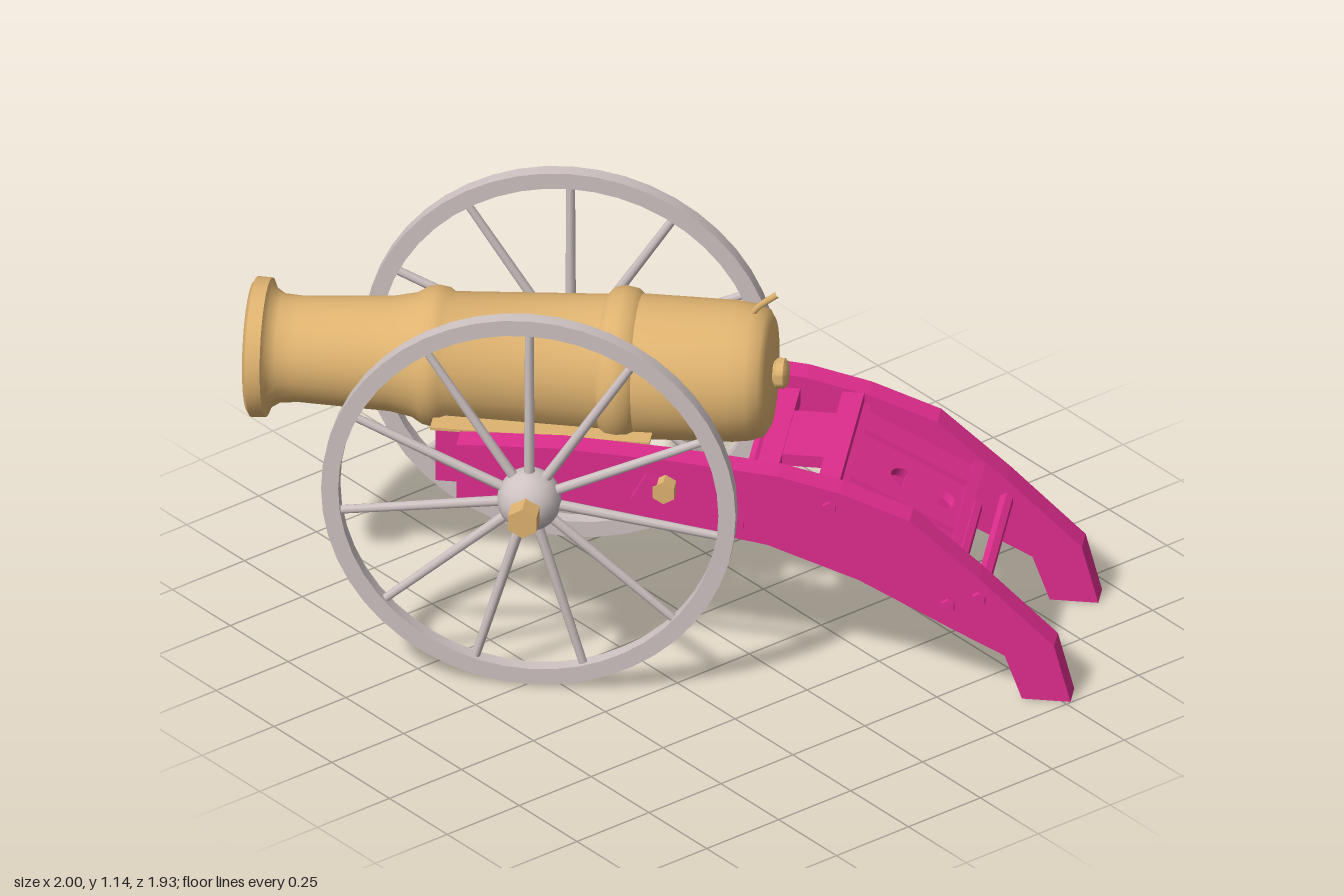
import * as THREE from 'three';
import { toCreasedNormals } from 'three/addons/utils/BufferGeometryUtils.js';

export function createModel() {
  const mat = (name, color) => {
    const m = new THREE.MeshStandardMaterial({ color });
    m.name = name;
    return m;
  };
  const bronze = mat('bronze', 0xdfb370);
  const paint = mat('magenta paint', 0xdf2d8e);
  const iron = mat('pale iron', 0xcec2c2);

  // Local frame: +x towards the muzzle, y up, z across; turned at the end.
  const root = new THREE.Group();
  root.name = 'cannon';
  const add = (name, geo, material, x = 0, y = 0, z = 0, parent = root) => {
    const m = new THREE.Mesh(geo, material);
    m.name = name;
    m.position.set(x, y, z);
    parent.add(m);
    return m;
  };
  const box = (w, h, d) => new THREE.BoxGeometry(w, h, d);
  const rod = (r, len, sides) => toCreasedNormals(
    new THREE.CylinderGeometry(r, r, len, sides).rotateX(Math.PI / 2), 0.6);
  const shapeOf = pts => new THREE.Shape(pts.map(p => new THREE.Vector2(p[0], p[1])));

  // Barrel: one turned profile of [radius, distance along axis], knob to bore
  const profile = [
    [0, -0.265], [0.03, -0.265], [0.042, -0.255], [0.042, -0.235], [0.03, -0.225],
    [0.15, -0.22], [0.174, -0.205], [0.187, -0.17], [0.193, -0.12], [0.198, 0.14],
    [0.212, 0.155], [0.218, 0.185], [0.212, 0.215], [0.192, 0.235],
    [0.178, 0.655], [0.189, 0.67], [0.194, 0.7], [0.188, 0.725], [0.17, 0.755],
    [0.157, 0.82], [0.145, 1.07], [0.149, 1.12], [0.165, 1.145], [0.19, 1.155],
    [0.192, 1.195], [0.177, 1.205], [0.095, 1.205], [0.095, 0.75], [0, 0.75],
  ].map(p => new THREE.Vector2(p[0], p[1]));
  const barrelGroup = new THREE.Group();
  barrelGroup.name = 'barrelGroup';
  barrelGroup.position.y = 0.78;
  barrelGroup.rotation.z = -0.022;
  root.add(barrelGroup);
  add('barrel', toCreasedNormals(
    new THREE.LatheGeometry(profile, 28).rotateZ(-Math.PI / 2), 0.7), bronze, 0, 0, 0, barrelGroup);

  // Fuse curving back from the touch hole
  const fuse = new THREE.CatmullRomCurve3([
    new THREE.Vector3(-0.145, 0.93, 0), new THREE.Vector3(-0.18, 0.985, 0),
    new THREE.Vector3(-0.235, 1.03, 0)]);
  add('fuse', new THREE.TubeGeometry(fuse, 8, 0.009, 6), bronze);

  // Bed box between the cheeks, with a bronze cradle plate on it
  add('bedBox', box(0.475, 0.155, 0.43), paint, 0.4325, 0.578, 0);
  add('cradle', box(0.6, 0.008, 0.43), bronze, 0.385, 0.66, 0);

  // Cheeks: the two long side boards curving down to the tail
  const cheek = shapeOf([
    [0.6, 0.5], [0.6, 0.67], [0.32, 0.68], [0, 0.665], [-0.28, 0.64], [-0.45, 0.6],
    [-0.64, 0.53], [-0.83, 0.365], [-1.035, 0.17], [-1.08, 0], [-0.947, 0],
    [-0.9, 0.13], [-0.76, 0.2], [-0.5, 0.335], [-0.25, 0.425], [0.1, 0.48]]);
  const cheekGeo = new THREE.ExtrudeGeometry(cheek, { depth: 0.074, bevelEnabled: false });
  cheekGeo.translate(0, 0, -0.037);

  // Wheel parts
  const rimShape = new THREE.Shape().absarc(0, 0, 0.567, 0, Math.PI * 2, false);
  rimShape.holes.push(new THREE.Path().absarc(0, 0, 0.52, 0, Math.PI * 2, true));
  const rimGeo = toCreasedNormals(new THREE.ExtrudeGeometry(rimShape,
    { depth: 0.042, bevelEnabled: false, curveSegments: 24 }).translate(0, 0, -0.021), 0.2);
  const spokeGeo = new THREE.CylinderGeometry(0.012, 0.015, 0.48, 8).translate(0, 0.295, 0);
  const hubGeo = new THREE.SphereGeometry(0.088, 18, 12);

  for (const s of [-1, 1]) {
    const side = s < 0 ? 'left' : 'right';
    add(side + 'Cheek', cheekGeo, paint, 0, 0, s * 0.271);

    const wheel = new THREE.Group();
    wheel.name = side + 'Wheel';
    wheel.position.set(0.387, 0.572, s * 0.403);
    root.add(wheel);
    add('rim', rimGeo, iron, 0, 0, 0, wheel);
    add('hub', hubGeo, iron, 0, 0, 0, wheel);
    add('axleCap', rod(0.045, 0.075, 6), bronze, 0, 0, s * 0.1, wheel);
    for (let i = 0; i < 11; i++)
      add('spoke', spokeGeo, iron, 0, 0, 0, wheel).rotation.z = i * Math.PI * 2 / 11;

    // Square block let through the cheek
    add(side + 'PinBlock', box(0.085, 0.085, 0.14), paint, 0.062, 0.572, s * 0.278).rotation.z = 0.5;
  }

  // Bronze pin beside the left block
  add('leftPin', rod(0.034, 0.045, 6), bronze, 0.028, 0.588, -0.328);

  // Axle between the wheels
  add('axle', rod(0.035, 0.76, 12), iron, 0.387, 0.572, 0);

  // Cross rods with ends showing through the cheeks
  for (const [x, y] of [[-0.83, 0.305], [-0.745, 0.277], [-0.42, 0.555], [-0.17, 0.485]])
    add('crossRod', rod(0.02, 0.645, 6), paint, x, y, 0);

  // Platform behind the breech, leaving a square opening at each side
  add('platform', box(0.2, 0.035, 0.24), paint, -0.33, 0.585, 0);
  for (const x of [-0.235, -0.41])
    add('platformBeam', box(0.06, 0.05, 0.468), paint, x, 0.58, 0);

  // Sloping rear board with two half-moon openings and a raised frame
  const board = shapeOf([[-0.19, -0.234], [0.19, -0.234], [0.19, 0.234], [-0.19, 0.234]]);
  for (const [x, a] of [[0.005, 0], [-0.1, Math.PI]]) {
    const hole = new THREE.Path();
    hole.absarc(x, 0, 0.045, a - Math.PI / 2, a + Math.PI / 2, false);
    board.holes.push(hole);
  }
  const rear = new THREE.Group();
  rear.name = 'rearBoardGroup';
  rear.position.set(-0.58, 0.456, 0);
  rear.rotation.z = 0.47;
  root.add(rear);
  add('rearBoard', new THREE.ExtrudeGeometry(board,
    { depth: 0.025, bevelEnabled: false, curveSegments: 8 }).rotateX(-Math.PI / 2),
  paint, 0, 0, 0, rear);
  for (const s of [-1, 1]) {
    add('frameEnd', box(0.03, 0.03, 0.468), paint, s * 0.175, 0.03, 0, rear);
    add('frameSide', box(0.34, 0.02, 0.03), paint, 0, 0.03, s * 0.13, rear);
  }

  // Turn the gun so that it points to the front and its own right
  root.rotation.y = Math.atan2(-0.685, -0.728);
  const model = new THREE.Group();
  model.name = 'fieldCannon';
  model.add(root);
  return model;
}
